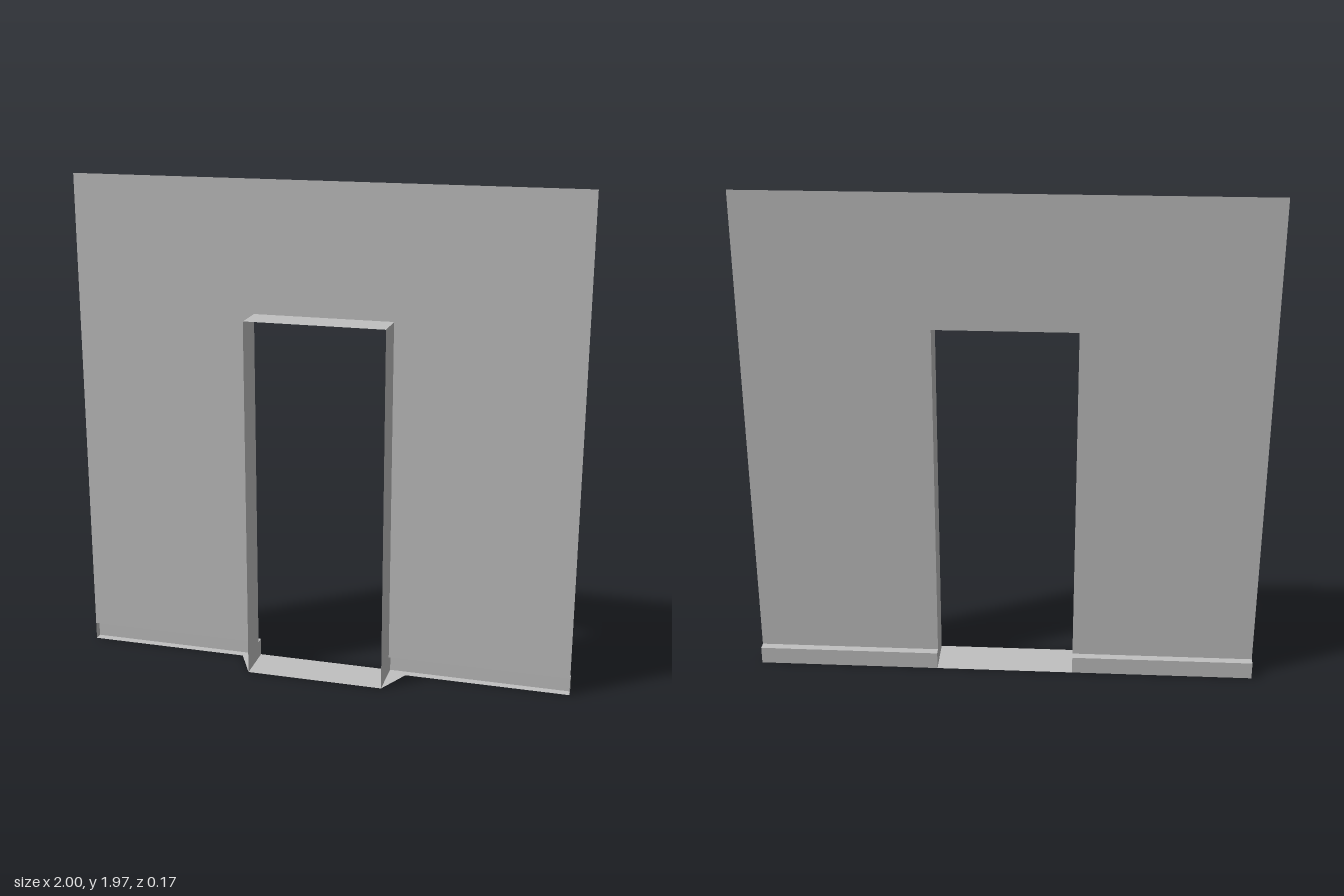
import * as THREE from 'three';

const H = 1.965, DOOR_W = 0.275, DOOR_H = 1.45, SKIRT_H = 0.07;
const BACK = -0.085, WALL = -0.053, FRONT = 0.085;

export function createModel() {
  const group = new THREE.Group();
  const plaster = new THREE.MeshStandardMaterial({ color: 0xc0c0c0, side: THREE.DoubleSide });
  plaster.name = 'grey plaster';

  const add = (name, geometry, parent = group) => {
    const mesh = new THREE.Mesh(geometry, plaster);
    mesh.name = name;
    parent.add(mesh);
    return mesh;
  };
  const sheet = (points) =>
    new THREE.ShapeGeometry(new THREE.Shape(points.map(([x, y]) => new THREE.Vector2(x, y))));

  // Thin wall sheet with the doorway cut out, standing above the open skirting
  add('wall', sheet([
    [-1, SKIRT_H], [-DOOR_W, SKIRT_H], [-DOOR_W, DOOR_H], [DOOR_W, DOOR_H],
    [DOOR_W, SKIRT_H], [1, SKIRT_H], [1, H], [-1, H],
  ])).position.z = WALL;

  // Threshold: floor sheet flaring out towards the wall (shape y becomes -z)
  add('threshold', sheet([
    [-DOOR_W, -FRONT], [DOOR_W, -FRONT], [0.345, -WALL], [DOOR_W, -WALL],
    [DOOR_W, -BACK], [-DOOR_W, -BACK], [-DOOR_W, -WALL], [-0.345, -WALL],
  ]).rotateX(-Math.PI / 2));

  // Door lining: head and two jambs
  const depth = FRONT - WALL, midZ = (FRONT + WALL) / 2;
  add('doorHead', new THREE.PlaneGeometry(DOOR_W * 2, depth).rotateX(Math.PI / 2))
    .position.set(0, DOOR_H, midZ);

  const skirtLength = 1 - DOOR_W, skirtDepth = WALL - BACK;
  for (const [side, s] of [['left', 1], ['right', -1]]) {
    add(side + 'Jamb', new THREE.PlaneGeometry(depth, DOOR_H).rotateY(-s * Math.PI / 2))
      .position.set(s * DOOR_W, DOOR_H / 2, midZ);

    // Skirting on the back, open towards the wall
    const skirting = new THREE.Group();
    skirting.name = side + 'Skirting';
    skirting.position.set(s * (1 + DOOR_W) / 2, SKIRT_H / 2, (BACK + WALL) / 2);
    group.add(skirting);
    add('skirtingFace', new THREE.PlaneGeometry(skirtLength, SKIRT_H).rotateY(Math.PI), skirting)
      .position.z = -skirtDepth / 2;
    for (const d of [1, -1]) {
      add(d > 0 ? 'skirtingTop' : 'skirtingBottom',
        new THREE.PlaneGeometry(skirtLength, skirtDepth).rotateX(-d * Math.PI / 2), skirting)
        .position.y = d * SKIRT_H / 2;
      add('skirtingEnd',
        new THREE.PlaneGeometry(skirtDepth, SKIRT_H).rotateY(d * Math.PI / 2), skirting)
        .position.x = d * skirtLength / 2;
    }
  }
  return group;
}
